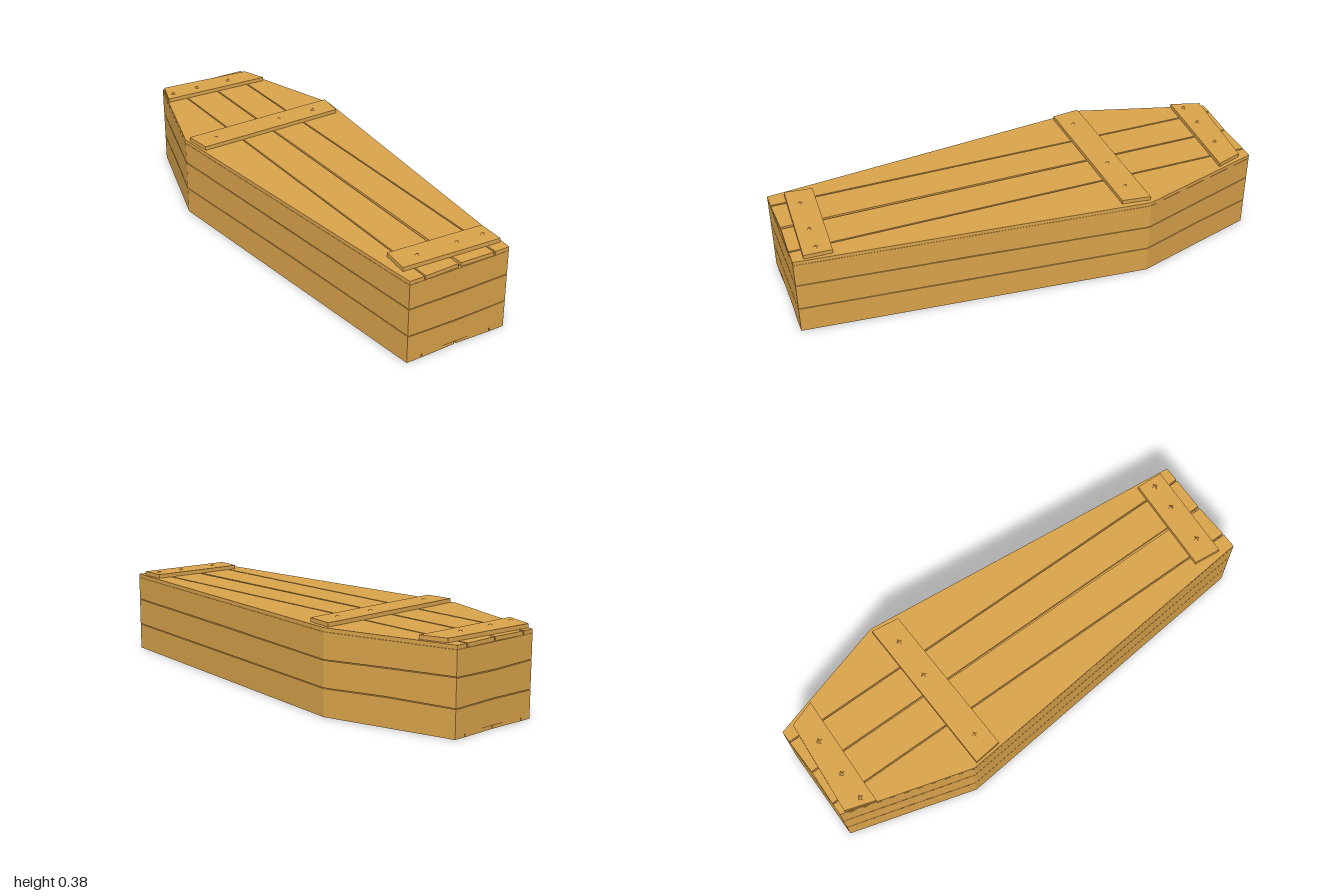
import * as THREE from 'three';

const wood = new THREE.MeshStandardMaterial({ color: 0xdba44c, flatShading: true });

// Plan outline [x, z], starting at the foot
const outline = [[-0.228, 1], [0.228, 1], [0.37, -0.46], [0.21, -1], [-0.21, -1], [-0.37, -0.46]];
const WALL = 0.016;
const inset = ([x, z]) => [x - Math.sign(x) * WALL, Math.abs(z) > 0.9 ? z - Math.sign(z) * WALL : z];
const lerp = THREE.MathUtils.lerp;

function add(parent, name, geometry) {
  const mesh = new THREE.Mesh(geometry, wood);
  mesh.name = name;
  parent.add(mesh);
  return mesh;
}

// Flat board from plan points [x, z], between two heights
function board(points, y0, y1) {
  const shape = new THREE.Shape(points.map(([x, z]) => new THREE.Vector2(x, z)));
  const g = new THREE.ExtrudeGeometry(shape, { depth: y1 - y0, bevelEnabled: false });
  return g.rotateX(Math.PI / 2).translate(0, y1, 0);
}

// Wall plank from a to b; low and high are edge heights at start, middle and end
function wallPlank(a, b, low, high) {
  const ai = inset(a), bi = inset(b);
  const g = new THREE.BoxGeometry(1, 1, 1, 2, 1, 1);
  const p = g.attributes.position;
  for (let i = 0; i < p.count; i++) {
    const t = p.getX(i) + 0.5;
    const [s, e] = p.getZ(i) > 0 ? [a, b] : [ai, bi];
    const edge = p.getY(i) > 0 ? high : low;
    p.setXYZ(i, lerp(s[0], e[0], t), edge[Math.round(t * 2)], lerp(s[1], e[1], t));
  }
  g.computeVertexNormals();
  return g;
}

// Four lengthwise boards filling the outline
function deck(name, y0, y1, gap) {
  const group = new THREE.Group();
  group.name = name;
  for (const s of [-1, 1]) {
    const inner = [[gap * 0.5, -0.995], [0.16 - gap, -1], [0.16 - gap * 0.6, 1], [gap, 0.995]];
    const outer = [[0.16, -1], [0.21, -1], [0.37, -0.46], [0.228, 1], [0.163, 1]];
    for (const pts of [inner, outer]) {
      add(group, name + 'Board', board(pts.map(([x, z]) => [x * s, z]), y0, y1));
    }
  }
  return group;
}

export function createModel() {
  const model = new THREE.Group();
  model.name = 'coffin';

  model.add(deck('floor', 0, 0.015, 0.004));
  model.add(deck('lid', 0.338, 0.354, 0.006));

  // Six walls of three planks; lower and upper seam heights along each wall
  const seams = [
    [[0.115, 0.111, 0.116], [0.233, 0.231, 0.234]],
    [[0.115, 0.115, 0.115], [0.234, 0.232, 0.227]],
    [[0.115, 0.120, 0.116], [0.227, 0.232, 0.235]],
    [[0.115, 0.119, 0.116], [0.233, 0.229, 0.234]],
    [[0.116, 0.121, 0.116], [0.234, 0.237, 0.243]],
    [[0.116, 0.122, 0.118], [0.243, 0.239, 0.234]],
  ];
  const walls = new THREE.Group();
  walls.name = 'walls';
  model.add(walls);
  const bottom = [0.015, 0.015, 0.015], top = [0.337, 0.337, 0.337];
  seams.forEach(([s1, s2], i) => {
    const a = outline[i], b = outline[(i + 1) % 6];
    const below = (s) => s.map((y, k) => y - (k === 1 ? 0.002 : 0.0015));
    const above = (s) => s.map((y, k) => y + (k === 1 ? 0.002 : 0.0015));
    add(walls, 'lowerPlank', wallPlank(a, b, bottom, below(s1)));
    add(walls, 'middlePlank', wallPlank(a, b, above(s1), below(s2)));
    add(walls, 'upperPlank', wallPlank(a, b, above(s2), top));
  });

  // Crooked cross battens on the lid, with their nails
  const battens = [
    ['headBatten', [[-0.212, -0.978], [0.205, -0.95], [0.243, -0.84], [-0.252, -0.852]],
      [[-0.205, -0.895], [-0.08, -0.9], [0.085, -0.9]]],
    ['shoulderBatten', [[-0.358, -0.44], [0.352, -0.465], [0.336, -0.345], [-0.345, -0.32]],
      [[-0.26, -0.38], [0.067, -0.4], [0.245, -0.4]]],
    ['footBatten', [[-0.198, 0.815], [0.226, 0.838], [0.222, 0.955], [-0.21, 0.932]],
      [[-0.113, 0.885], [0.067, 0.89], [0.186, 0.895]]],
  ];
  for (const [name, pts, nails] of battens) {
    const group = new THREE.Group();
    group.name = name;
    model.add(group);
    add(group, name + 'Board', board(pts, 0.353, 0.371));
    for (const [x, z] of nails) {
      add(group, 'nailHead', new THREE.ConeGeometry(0.013, 0.006, 4)).position.set(x, 0.374, z);
    }
  }
  return model;
}
